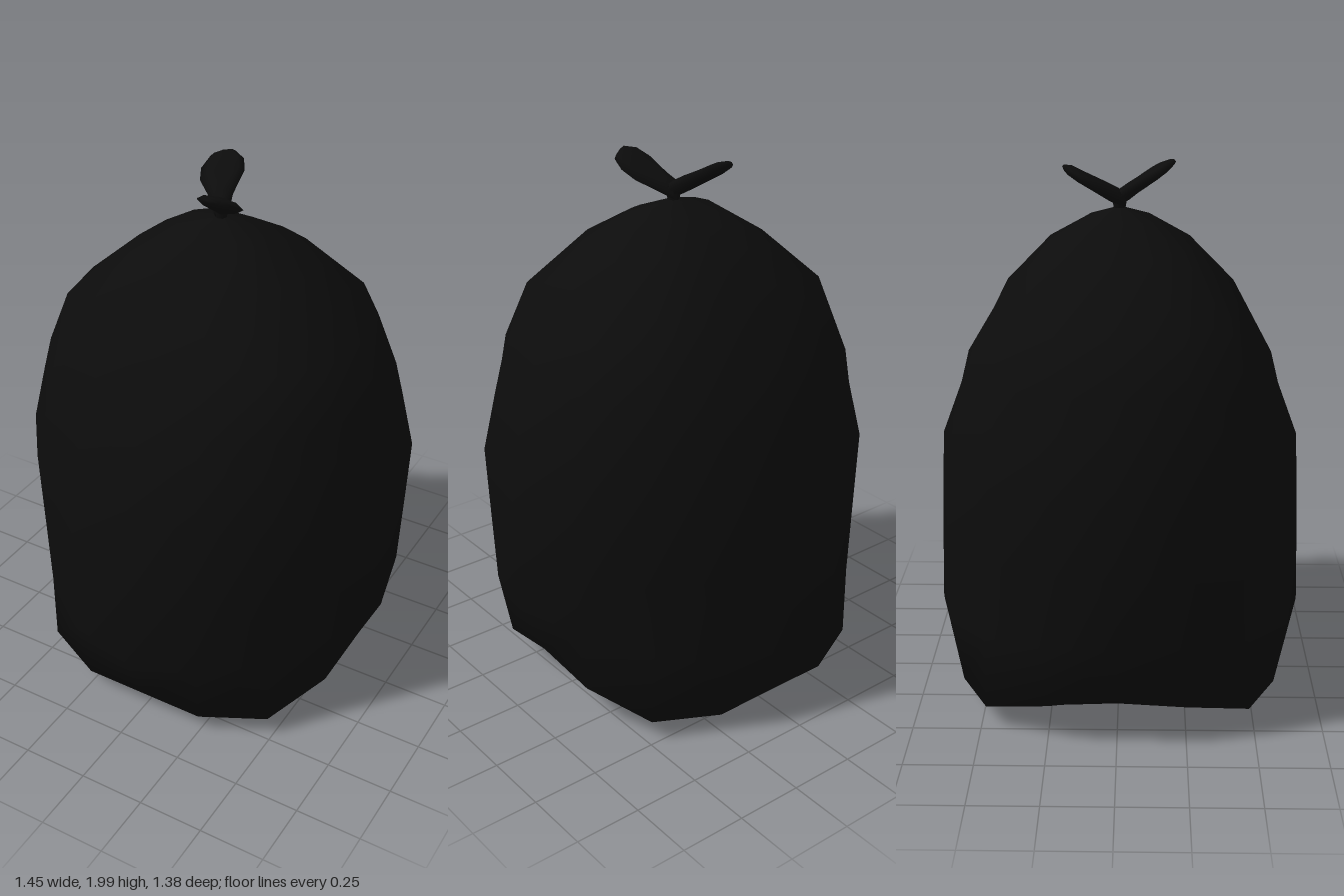
import * as THREE from 'three';
import { mergeVertices } from 'three/addons/utils/BufferGeometryUtils.js';

// Smooth skin over a stack of closed loops of points
function loft(loops) {
  const n = loops[0].length;
  const index = [];
  for (let i = 0; i < loops.length - 1; i++) {
    for (let j = 0; j < n; j++) {
      const k = (j + 1) % n;
      const a = i * n + j, b = i * n + k, c = b + n, d = a + n;
      index.push(a, d, b, b, d, c);
    }
  }
  const geo = new THREE.BufferGeometry();
  geo.setAttribute('position', new THREE.Float32BufferAttribute(loops.flat(2), 3));
  geo.setIndex(index);
  const merged = mergeVertices(geo, 1e-4);
  merged.computeVertexNormals();
  return merged;
}

// Blend side (x), front (z) and diagonal values around the loop
function blend(x, z, d, t) {
  const c = ((x + z) / 2 - d) / 2;
  return d + c + ((x - z) / 2) * Math.cos(2 * t) + c * Math.cos(4 * t);
}

// Bag levels: radius and height at the sides, front/back and diagonals
const LEVELS = [
  [0, 0, 0, 0, 0, 0],
  [0.14, 0.01, 0.11, 0.01, 0.14, 0.01],
  [0.32, 0.05, 0.22, 0.025, 0.33, 0.035],
  [0.52, 0.12, 0.41, 0.065, 0.52, 0.06],
  [0.62, 0.2, 0.6, 0.08, 0.68, 0.08],
  [0.71, 0.42, 0.69, 0.3, 0.68, 0.36],
  [0.72, 0.69, 0.68, 0.65, 0.69, 0.66],
  [0.727, 0.95, 0.665, 0.98, 0.7, 0.95],
  [0.67, 1.18, 0.59, 1.18, 0.65, 1.16],
  [0.63, 1.3, 0.56, 1.3, 0.63, 1.29],
  [0.555, 1.49, 0.41, 1.55, 0.54, 1.5],
  [0.34, 1.68, 0.26, 1.71, 0.31, 1.71],
  [0.16, 1.8, 0.13, 1.79, 0.15, 1.795],
  [0.015, 1.835, 0.015, 1.835, 0.015, 1.835],
  [0, 1.84, 0, 1.84, 0, 1.84],
];

function bagGeometry() {
  const sides = 16;
  return loft(LEVELS.map(([rx, yx, rz, yz, rd, yd]) =>
    Array.from({ length: sides }, (_, j) => {
      const t = (j / sides) * Math.PI * 2;
      const r = blend(rx, rz, rd, t);
      return [r * Math.cos(t), blend(yx, yz, yd, t), r * Math.sin(t)];
    })));
}

// Tie end: flattened leaf rising outward, rolled down on one side
function tieGeometry() {
  // distance, height, half width, half thickness
  const sections = [
    [-0.02, 1.865, 0, 0],
    [-0.01, 1.865, 0.03, 0.03],
    [0.04, 1.89, 0.04, 0.032],
    [0.12, 1.933, 0.078, 0.026],
    [0.165, 1.958, 0.075, 0.024],
    [0.205, 1.977, 0.045, 0.014],
    [0.21, 1.98, 0, 0],
  ];
  const s = Math.sin(0.5), c = Math.cos(0.5), sides = 8;
  return loft(sections.map(([dist, y, w, h]) =>
    Array.from({ length: sides }, (_, j) => {
      const t = (j / sides) * Math.PI * 2;
      const u = w * Math.cos(t), v = h * Math.sin(t) + 0.25 * u;
      return [s * dist - c * u, y + v, c * dist + s * u];
    })));
}

export function createModel() {
  const plastic = new THREE.MeshStandardMaterial({ color: 0x0c0c0c });
  plastic.name = 'black plastic';
  const model = new THREE.Group();
  model.name = 'tiedSack';

  const bag = new THREE.Mesh(bagGeometry(), plastic);
  bag.name = 'bag';
  model.add(bag);

  // Gathered neck under the knot
  const neck = new THREE.Mesh(new THREE.CylinderGeometry(0.03, 0.02, 0.06, 8), plastic);
  neck.name = 'neck';
  neck.position.y = 1.855;
  model.add(neck);

  // Two tie ends, half a turn apart
  const tie = tieGeometry();
  ['frontTie', 'backTie'].forEach((name, i) => {
    const end = new THREE.Mesh(tie, plastic);
    end.name = name;
    end.rotation.y = i * Math.PI;
    model.add(end);
  });
  return model;
}
